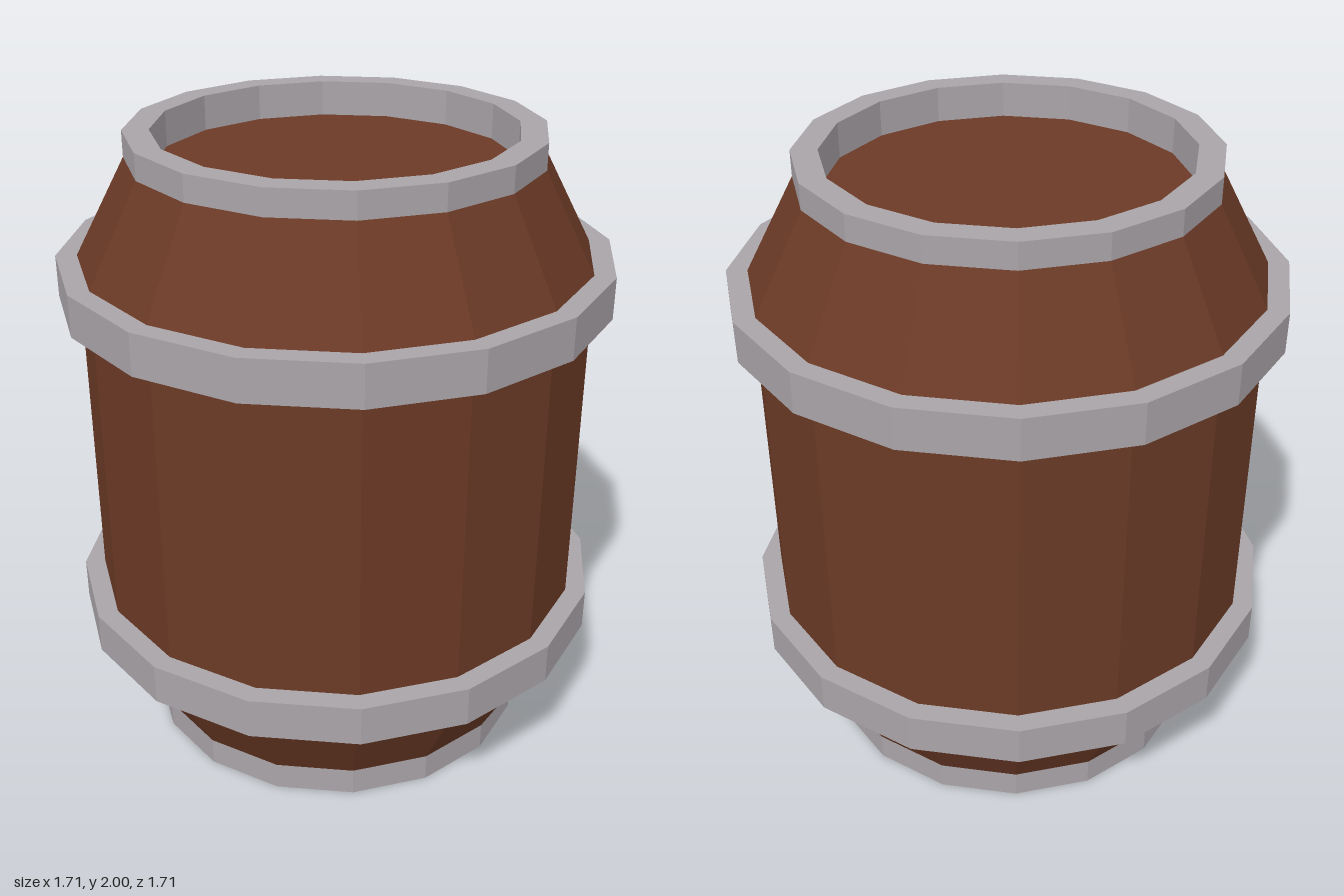
import * as THREE from 'three';

const SIDES = 16;
const wood = new THREE.MeshStandardMaterial({ color: 0x6b3a26, flatShading: true });
const metal = new THREE.MeshStandardMaterial({ color: 0xaaa4a8, flatShading: true });

// Revolves a profile of [radius, height] pairs, listed upwards on the outside
function turned(name, profile, material) {
  const points = profile.map(([r, y]) => new THREE.Vector2(r, y));
  const mesh = new THREE.Mesh(new THREE.LatheGeometry(points, SIDES), material);
  mesh.name = name;
  return mesh;
}

export function createModel() {
  const barrel = new THREE.Group();
  barrel.name = 'barrel';

  // Wooden staves: tapered ends and a straight middle
  barrel.add(turned('staves', [[0.63, 0.09], [0.79, 0.39], [0.79, 1.62], [0.63, 1.92]], wood));

  // Raised hoops around the shoulders
  for (const [name, y] of [['lowerHoop', 0.39], ['upperHoop', 1.49]]) {
    barrel.add(turned(name, [[0.79, y], [0.855, y], [0.855, y + 0.13], [0.79, y + 0.13]], metal));
  }

  // Closed metal base
  barrel.add(turned('baseCap', [[0, 0], [0.63, 0], [0.63, 0.09]], metal));

  // Open top rim with its inner wall
  barrel.add(turned('topRim', [[0.63, 1.92], [0.63, 2], [0.55, 2], [0.55, 1.89]], metal));

  // Lid recessed inside the rim
  barrel.add(turned('lid', [[0.55, 1.89], [0, 1.89]], wood));

  return barrel;
}
